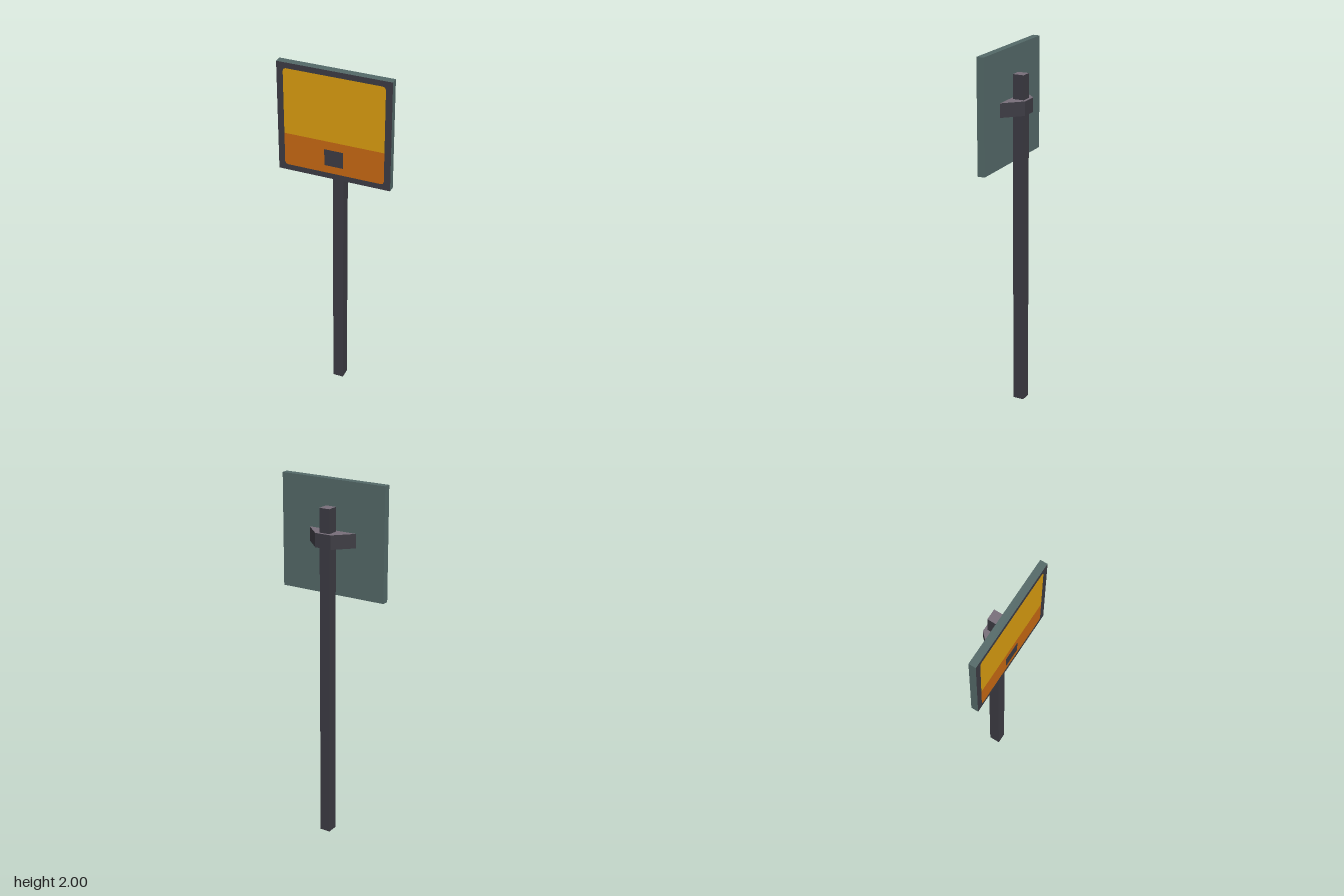
import * as THREE from 'three';

const mat = (name, color) => {
  const m = new THREE.MeshStandardMaterial({ color });
  m.name = name;
  return m;
};

export function createModel() {
  const group = new THREE.Group();
  group.name = 'roadSign';

  const charcoal = mat('charcoal', 0x3b3a42);
  const teal = mat('teal', 0x536867);
  const mauve = mat('mauve', 0x776e79);
  const yellow = mat('yellow', 0xd69a10);
  const orange = mat('orange', 0xc46712);

  const add = (name, geometry, material, x = 0, y = 0, z = 0) => {
    const mesh = new THREE.Mesh(geometry, material);
    mesh.name = name;
    mesh.position.set(x, y, z);
    group.add(mesh);
    return mesh;
  };

  // Square post with a paler top face
  add('post', new THREE.BoxGeometry(0.06, 1.862, 0.062),
    [charcoal, charcoal, mauve, charcoal, charcoal, charcoal], 0, 0.931, -0.026);

  // Sign board: dark front and underside, teal edges and back
  add('board', new THREE.BoxGeometry(0.62, 0.619, 0.04),
    [teal, teal, teal, charcoal, charcoal, teal], 0, 1.6905, 0.042);

  // Trapezoid bracket clamping the post to the board
  const outline = new THREE.Shape([[-0.143, -0.023], [0.143, -0.023], [0.047, 0.073], [-0.047, 0.073]]
    .map(([x, y]) => new THREE.Vector2(x, y)));
  const bracket = new THREE.ExtrudeGeometry(outline, { depth: 0.077, bevelEnabled: false });
  bracket.rotateX(-Math.PI / 2); // shape y becomes -z, depth becomes y
  add('bracket', bracket, [mauve, charcoal], 0, 1.654, 0);

  // Painted panels: corners are clipped only on the outer side
  const half = 0.275, clip = 0.016;
  const panel = (inner, outer) => {
    const s = Math.sign(outer - inner);
    const pts = [[-half, inner], [half, inner], [half, outer - s * clip], [half - clip * 0.3, outer - s * clip * 0.3],
      [half - clip, outer], [clip - half, outer], [clip * 0.3 - half, outer - s * clip * 0.3], [-half, outer - s * clip]];
    return new THREE.ShapeGeometry(new THREE.Shape(pts.map(([x, y]) => new THREE.Vector2(x, y))));
  };
  add('upperPanel', panel(1.598, 1.969), yellow, 0, 0, 0.0628);
  add('lowerPanel', panel(1.598, 1.413), orange, 0, 0, 0.0628);

  // Small dark square on the lower panel
  add('panelSquare', new THREE.PlaneGeometry(0.105, 0.094), charcoal, 0, 1.503, 0.0638);

  return group;
}
